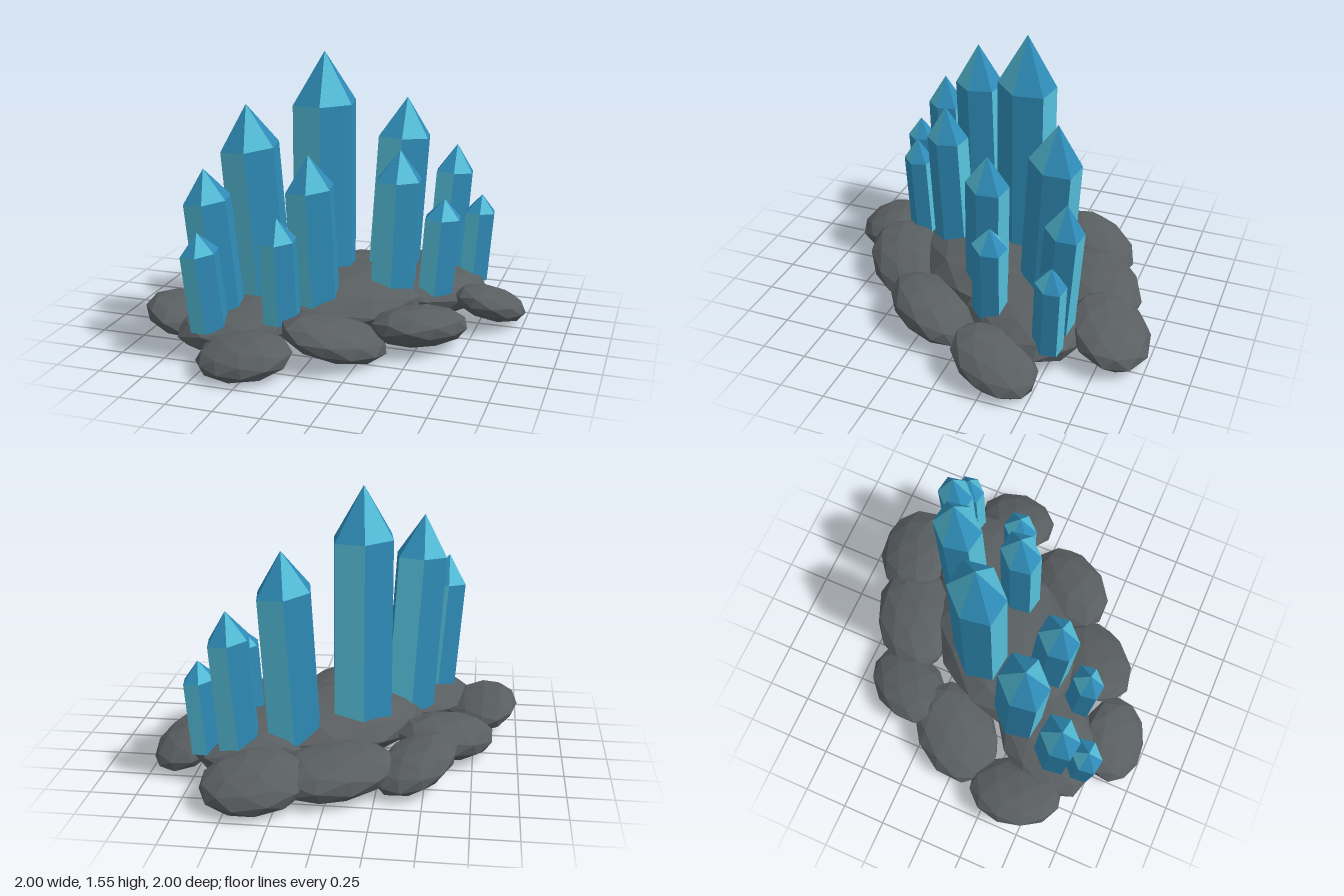
import * as THREE from 'three';

const flat = (name, color) => {
  const m = new THREE.MeshStandardMaterial({ color, flatShading: true });
  m.name = name;
  return m;
};

export function createModel() {
  const group = new THREE.Group();
  const stone = flat('dark stone', 0x595e61);
  const blue = flat('crystal blue', 0x2f8cb8);
  const light = flat('crystal light blue', 0x55bfda);

  // Flattened faceted boulder: half sizes, turn in plan, slopes along x and z
  function rock(name, [x, y, z], [a, h, b], yawDeg, slopeX, slopeZ, seed) {
    const geo = new THREE.IcosahedronGeometry(1, 1);
    geo.rotateY(seed * 1.3).rotateX(seed * 0.7);
    geo.scale(a, h, b).rotateY(THREE.MathUtils.degToRad(yawDeg));
    geo.rotateZ(Math.atan(slopeX)).rotateX(-Math.atan(slopeZ));
    const mesh = new THREE.Mesh(geo, stone);
    mesh.name = name;
    mesh.position.set(x, y, z);
    group.add(mesh);
  }

  // Three bed rocks in a diagonal row
  [
    [[0.02, 0.185, 0.0], [0.56, 0.165, 0.41], 45, 0, 0],
    [[0.41, 0.175, -0.31], [0.4, 0.14, 0.31], 45, -0.05, 0.05],
    [[-0.4, 0.155, 0.44], [0.4, 0.125, 0.28], 45, 0.05, -0.05],
  ].forEach(([p, s, yaw, sx, sz], i) => rock('bedRock' + (i + 1), p, s, yaw, sx, sz, i + 0.4));

  // Ring of boulders
  [
    [[0.36, 0.137, -0.77], [0.295, 0.11, 0.235], 20, 0, 0.3],
    [[-0.03, 0.135, -0.59], [0.355, 0.12, 0.245], 30, 0, 0.1],
    [[-0.45, 0.135, -0.44], [0.29, 0.1, 0.2], 60, -0.2, 0.15],
    [[-0.6, 0.135, -0.06], [0.32, 0.12, 0.235], 50, 0.1, -0.1],
    [[-0.785, 0.135, 0.4], [0.275, 0.098, 0.22], 98, -0.28, 0.1],
    [[-0.265, 0.113, 0.81], [0.255, 0.095, 0.19], 15, 0.02, -0.27],
    [[0.13, 0.145, 0.51], [0.315, 0.105, 0.225], 45, -0.3, 0.1],
    [[0.51, 0.14, 0.2], [0.305, 0.115, 0.215], 55, 0.05, 0.23],
    [[0.81, 0.135, -0.275], [0.265, 0.095, 0.195], 70, -0.25, 0.25],
  ].forEach(([p, s, yaw, sx, sz], i) => rock('outerRock' + (i + 1), p, s, yaw, sx, sz, i + 1));

  // Colour the six sides of a prism or point; opposite sides share the light tone
  function paintSides(geo, perSide, lightSide) {
    geo.clearGroups();
    for (let k = 0; k < 6; k++) geo.addGroup(k * perSide, perSide, k % 3 === lightSide ? 1 : 0);
    const used = 6 * perSide;
    if (geo.index.count > used) geo.addGroup(used, geo.index.count - used, 0);
    return geo;
  }

  // Hexagonal section, broader along the diagonal of the bed than across it
  const section = (geo) => geo.scale(1.17, 1, 0.907).rotateY(Math.PI / 4);

  // Six-sided crystal leaning from its base to its tip
  const start = -Math.PI / 6;
  function crystal(name, base, tip, shoulderY, r) {
    const from = new THREE.Vector3(...base);
    const axis = new THREE.Vector3(...tip).sub(from);
    const length = axis.length();
    const bodyH = length * (shoulderY - base[1]) / (tip[1] - base[1]);
    const tipH = length - bodyH;
    const body = section(new THREE.CylinderGeometry(r, r, bodyH, 6, 1, false, start));
    const point = section(new THREE.CylinderGeometry(0, r, tipH, 6, 1, true, start));
    const c = new THREE.Group();
    c.name = name;
    const bodyMesh = new THREE.Mesh(paintSides(body.translate(0, bodyH / 2, 0), 6, 2), [blue, light]);
    bodyMesh.name = 'crystalBody';
    const pointMesh = new THREE.Mesh(
      paintSides(point.translate(0, bodyH + tipH / 2, 0), point.index.count / 6, 0), [blue, light]);
    pointMesh.name = 'crystalPoint';
    c.add(bodyMesh, pointMesh);
    c.position.copy(from);
    c.quaternion.setFromUnitVectors(new THREE.Vector3(0, 1, 0), axis.normalize());
    group.add(c);
  }

  // base, tip, shoulder height, radius
  [
    [[-0.13, 0.22, -0.11], [-0.13, 1.565, -0.11], 1.275, 0.169],
    [[0.215, 0.22, -0.35], [0.267, 1.275, -0.42], 1.05, 0.147],
    [[-0.37, 0.2, 0.235], [-0.437, 1.325, 0.297], 1.09, 0.147],
    [[-0.51, 0.2, 0.515], [-0.573, 1.025, 0.567], 0.855, 0.115],
    [[0.49, 0.2, -0.5], [0.535, 0.985, -0.563], 0.825, 0.108],
    [[-0.045, 0.2, 0.295], [-0.07, 1.085, 0.353], 0.9, 0.122],
    [[0.295, 0.2, -0.035], [0.325, 1.05, -0.053], 0.88, 0.124],
    [[-0.155, 0.22, 0.54], [-0.165, 0.795, 0.578], 0.67, 0.092],
    [[0.52, 0.22, -0.14], [0.557, 0.765, -0.153], 0.655, 0.1],
    [[-0.51, 0.19, 0.68], [-0.548, 0.725, 0.727], 0.615, 0.092],
    [[0.66, 0.19, -0.515], [0.695, 0.7, -0.54], 0.595, 0.086],
  ].forEach((c, i) => crystal('crystal' + (i + 1), ...c));

  return group;
}
